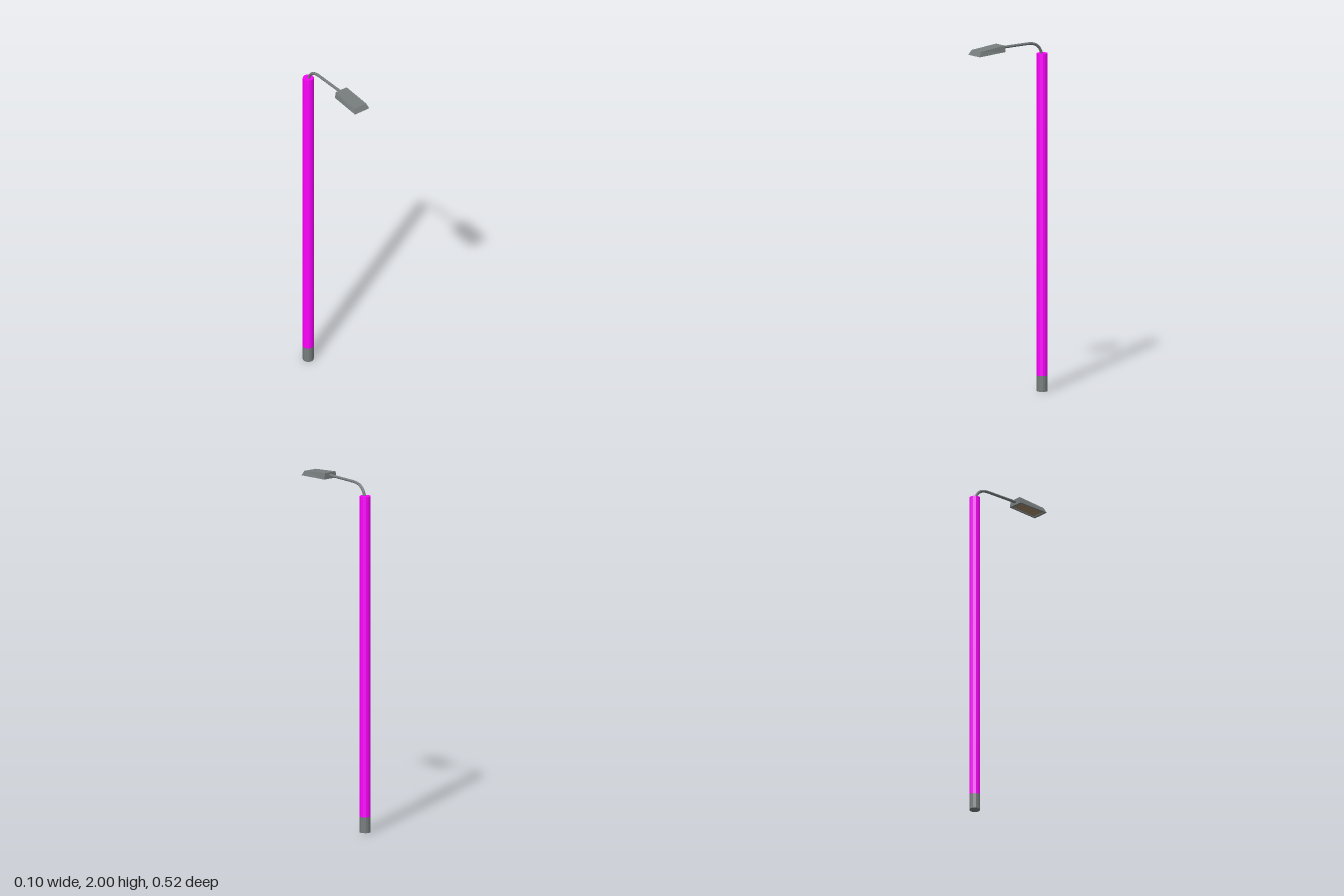
import * as THREE from 'three';

const POLE_Z = -0.23;
const material = (color, extra = {}) => new THREE.MeshStandardMaterial({ color, flatShading: true, ...extra });

function addMesh(group, name, geometry, mat) {
  const mesh = new THREE.Mesh(geometry, mat);
  mesh.name = name;
  group.add(mesh);
  return mesh;
}

// Four-cornered ring, counter-clockwise from above: back and front edges at their own height and half width
const ring = (backX, backY, backZ, frontX, frontY, frontZ) => [
  [-backX, backY, backZ], [-frontX, frontY, frontZ], [frontX, frontY, frontZ], [backX, backY, backZ],
];

// Skin between successive rings; optional caps on the first (up) and last (down)
function skin(rings, capTop, capBottom) {
  const index = [];
  for (let r = 0; r < rings.length - 1; r++) {
    for (let i = 0; i < 4; i++) {
      const a = r * 4 + i, b = r * 4 + (i + 1) % 4;
      index.push(a, a + 4, b + 4, a, b + 4, b);
    }
  }
  const n = (rings.length - 1) * 4;
  if (capTop) index.push(0, 1, 2, 0, 2, 3);
  if (capBottom) index.push(n, n + 2, n + 1, n, n + 3, n + 2);
  const geometry = new THREE.BufferGeometry();
  geometry.setAttribute('position', new THREE.Float32BufferAttribute(rings.flat(2), 3));
  geometry.setIndex(index);
  const flat = geometry.toNonIndexed();
  flat.computeVertexNormals();
  return flat;
}

export function createModel() {
  const model = new THREE.Group();
  model.name = 'streetLamp';
  const grey = material(0x777d7e);

  // Pole with a grey foot
  const footHeight = 0.09, poleTop = 1.915, radius = 0.031;
  const foot = addMesh(model, 'poleFoot', new THREE.CylinderGeometry(radius, radius, footHeight, 12), grey);
  foot.position.set(0, footHeight / 2, POLE_Z);
  const shaftHeight = poleTop - footHeight;
  const shaft = addMesh(model, 'poleShaft', new THREE.CylinderGeometry(radius, radius, shaftHeight, 12), material(0xff00ff));
  shaft.position.set(0, footHeight + shaftHeight / 2, POLE_Z);

  // Arm bending from the pole top towards the lamp head
  const path = new THREE.CurvePath();
  const bendEnd = new THREE.Vector3(0, 1.981, -0.13);
  path.add(new THREE.QuadraticBezierCurve3(
    new THREE.Vector3(0, 1.905, -0.227), new THREE.Vector3(0, 1.979, -0.215), bendEnd));
  path.add(new THREE.LineCurve3(bendEnd, new THREE.Vector3(0, 1.983, 0.09)));
  addMesh(model, 'arm', new THREE.TubeGeometry(path, 24, 0.008, 8), grey);

  // Lamp head: tapered housing with a rim around a recessed lens
  const head = new THREE.Group();
  head.name = 'lampHead';
  model.add(head);
  const recess = ring(0.036, 1.969, 0.082, 0.041, 1.963, 0.247);
  addMesh(head, 'housing', skin([
    ring(0.038, 2.0, 0.07, 0.041, 1.985, 0.244),
    ring(0.045, 1.964, 0.07, 0.05, 1.958, 0.26),
    ring(0.036, 1.9636, 0.082, 0.041, 1.9584, 0.247),
    recess,
  ], true, false), grey);
  addMesh(head, 'lens', skin([recess], false, true), material(0x9c8468));

  return model;
}
